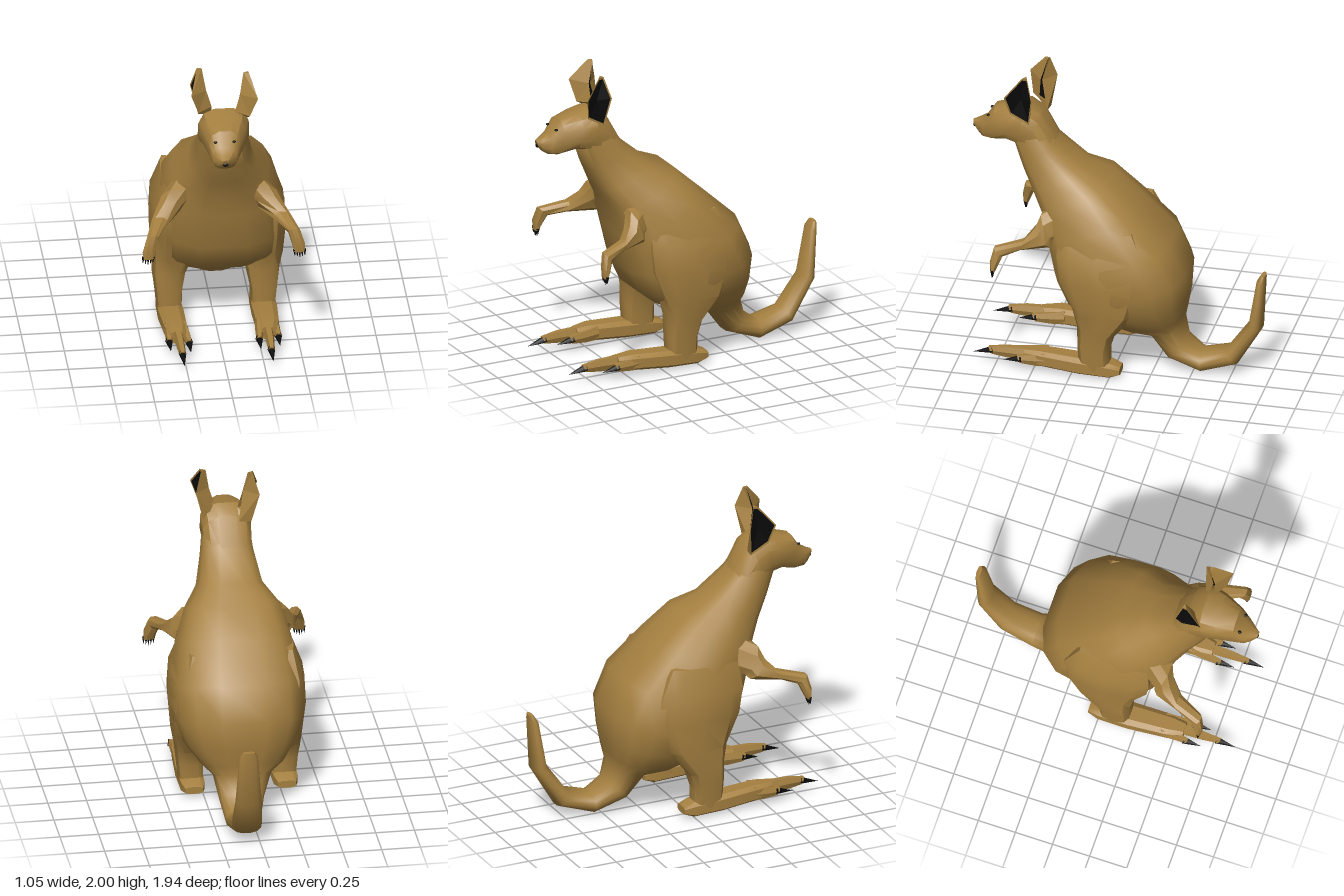
import * as THREE from 'three';
import { toCreasedNormals } from 'three/addons/utils/BufferGeometryUtils.js';

const fur = new THREE.MeshStandardMaterial({ color: 0xa58040, side: THREE.DoubleSide });
fur.name = 'tanFur';
const black = new THREE.MeshStandardMaterial({ color: 0x0b0b0b, side: THREE.DoubleSide });
black.name = 'blackDetail';

function add(parent, name, geometry, material) {
  const mesh = new THREE.Mesh(geometry, material);
  mesh.name = name;
  parent.add(mesh);
  return mesh;
}

// Skin over rings; each is [z, y of upper edge, z, y of lower edge, half width, centre x, optional roundness].
function loft(rings, sides, power, crease = 0.7) {
  const pos = [], index = [];
  const bend = (v, p) => Math.sign(v) * Math.pow(Math.abs(v), p);
  rings.forEach(([z1, y1, z2, y2, w, cx, p = power]) => {
    for (let j = 0; j < sides; j++) {
      const a = ((j + 0.5) / sides) * Math.PI * 2;
      const u = bend(Math.cos(a), p) / 2;
      pos.push(cx + w * bend(Math.sin(a), p), (y1 + y2) / 2 + (y1 - y2) * u, (z1 + z2) / 2 + (z1 - z2) * u);
    }
  });
  const last = (rings.length - 1) * sides;
  for (let j = 0; j < sides; j++) {
    const k = (j + 1) % sides;
    for (let r = 0; r < last; r += sides) {
      index.push(r + j, r + k, r + sides + j, r + k, r + sides + k, r + sides + j);
    }
    if (j > 0 && j < sides - 1) index.push(0, k, j, last, last + j, last + k);
  }
  const g = new THREE.BufferGeometry();
  g.setAttribute('position', new THREE.Float32BufferAttribute(pos, 3));
  g.setIndex(index);
  return toCreasedNormals(g, crease);
}

// Faceted surface from triangles of points
function facets(points) {
  const g = new THREE.BufferGeometry().setFromPoints(points);
  g.computeVertexNormals();
  return g;
}

// Pointed claw from a base point to a tip
function claw(parent, from, to, radius) {
  const a = new THREE.Vector3(...from), b = new THREE.Vector3(...to);
  const dir = b.clone().sub(a);
  const mesh = add(parent, 'claw', new THREE.ConeGeometry(radius, dir.length(), 5), black);
  mesh.position.copy(a).addScaledVector(dir, 0.5);
  mesh.quaternion.setFromUnitVectors(new THREE.Vector3(0, 1, 0), dir.normalize());
}

function makeArm(s) {
  const arm = new THREE.Group();
  arm.name = s > 0 ? 'leftArm' : 'rightArm';
  // fingertips, wrist, forearm, elbow, shoulder
  add(arm, 'armSkin', loft([
    [0.745, 0.76, 0.715, 0.76, 0.037, 0.485],
    [0.75, 0.83, 0.7, 0.79, 0.042, 0.48],
    [0.73, 0.92, 0.67, 0.86, 0.04, 0.455],
    [0.55, 0.96, 0.57, 0.89, 0.055, 0.395],
    [0.49, 1.03, 0.38, 0.9, 0.085, 0.32],
    [0.46, 1.11, 0.36, 0.92, 0.11, 0.265],
    [0.32, 1.18, 0.22, 0.95, 0.1, 0.17],
  ].map((r) => [...r.slice(0, 5), r[5] * s]), 8, 0.85, 0.5), fur);
  for (let i = 0; i < 5; i++) {
    const x = s * (0.453 + i * 0.016);
    claw(arm, [x, 0.775, 0.73], [x + s * 0.003, 0.71 + 0.008 * Math.abs(i - 2), 0.73], 0.011);
  }
  return arm;
}

function makeLeg(s) {
  const leg = new THREE.Group();
  leg.name = s > 0 ? 'leftLeg' : 'rightLeg';
  const X = (x) => 0.015 + s * x;
  // haunch narrowing into the shin
  add(leg, 'thighAndShin', loft([
    [-0.15, 1.04, 0.33, 1.02, 0.04, 0.015 + s * 0.31, 0.9],
    [-0.24, 0.86, 0.35, 0.86, 0.1, 0.025 + s * 0.325, 0.8],
    [-0.27, 0.68, 0.33, 0.68, 0.14, 0.03 + s * 0.3, 0.75],
    [-0.17, 0.47, 0.24, 0.48, 0.14, 0.03 + s * 0.285],
    [-0.03, 0.3, 0.21, 0.36, 0.11, X(0.3)],
    [0, 0.2, 0.21, 0.22, 0.09, X(0.305)],
    [0, 0.06, 0.2, 0.06, 0.08, X(0.3)],
  ], 10, 0.65), fur);
  add(leg, 'foot', loft([
    [0.56, 0.135, 0.56, 0.045, 0.05, X(0.29)],
    [0.46, 0.145, 0.46, 0.035, 0.075, X(0.295)],
    [0.2, 0.13, 0.2, 0.012, 0.085, X(0.3)],
    [0, 0.11, 0, 0.005, 0.08, X(0.3)],
    [-0.07, 0.08, -0.07, 0.03, 0.06, X(0.3)],
  ], 8, 0.6, 0.5), fur);
  // toes: [centre x, root x, front z, claw tip z]
  for (const [x, root, z, tip] of [[0.285, 0.29, 0.8, 0.9], [0.225, 0.25, 0.63, 0.72], [0.35, 0.335, 0.6, 0.69]]) {
    const y = z > 0.7 ? 0.09 : 0.08;
    add(leg, 'toe', loft([
      [z, y + 0.025, z - 0.02, y - 0.028, 0.02, X(x)],
      [z - 0.12, y + 0.045, z - 0.12, y - 0.04, 0.028, X((x + root) / 2)],
      [0.42, 0.14, 0.42, 0.04, 0.035, X(root)],
    ], 6, 0.8, 0.5), fur);
    claw(leg, [X(x), y, z - 0.03], [X(x), 0.062, tip], 0.026);
  }
  return leg;
}

// Cupped ear: ridged back, thin tan border and a dark hollow facing outward
function makeEar(s) {
  const ear = new THREE.Group();
  ear.name = s > 0 ? 'leftEar' : 'rightEar';
  const dz = s > 0 ? 0 : -0.08;
  const V = (x, y, z) => new THREE.Vector3(0.01 + s * x, y, z + dz);
  // rim: tip pair, back, bottom, lower front, front
  const rim = [V(0.165, 2, 0.61), V(0.16, 2, 0.58), V(0.2, 1.86, 0.54), V(0.15, 1.66, 0.57), V(0.16, 1.73, 0.69), V(0.21, 1.87, 0.72)];
  const hollow = V(0.145, 1.84, 0.62);
  const ridge = [V(0.13, 2, 0.59), V(0.13, 2, 0.59), V(0.105, 1.86, 0.62), V(0.07, 1.66, 0.58), V(0.07, 1.74, 0.63), V(0.105, 1.86, 0.63)];
  const inner = rim.map((p) => p.clone().lerp(hollow, 0.1));
  const shell = [], dark = [];
  rim.forEach((p, i) => {
    const n = (i + 1) % rim.length;
    const quad = (a, b) => (s > 0
      ? [a[i], b[i], a[n], a[n], b[i], b[n]]
      : [a[i], a[n], b[i], a[n], b[n], b[i]]);
    shell.push(...quad(ridge, rim), ...quad(rim, inner));
    dark.push(...(s > 0 ? [inner[i], hollow, inner[n]] : [inner[i], inner[n], hollow]));
  });
  add(ear, 'earShell', facets(shell), fur);
  add(ear, 'earInside', facets(dark), black);
  return ear;
}

export function createModel() {
  const model = new THREE.Group();
  model.name = 'kangaroo';

  // Neck, trunk and tail in one skin
  add(model, 'bodyAndTail', loft([
    [0.55, 1.71, 0.68, 1.49, 0.15, 0.01],
    [0.41, 1.52, 0.63, 1.34, 0.175, 0.015],
    [0.22, 1.36, 0.57, 1.2, 0.215, 0.02],
    [0.06, 1.29, 0.5, 1.07, 0.31, 0.02],
    [-0.13, 1.12, 0.46, 0.89, 0.375, 0.03],
    [-0.36, 0.91, 0.4, 0.63, 0.425, 0.04],
    [-0.46, 0.69, 0.33, 0.48, 0.42, 0.04],
    [-0.45, 0.5, 0.21, 0.385, 0.36, 0.04],
    [-0.43, 0.38, -0.05, 0.29, 0.27, 0.035],
    [-0.42, 0.31, -0.21, 0.25, 0.19, 0.045, 0.8],
    [-0.45, 0.2, -0.33, 0.08, 0.145, 0.06, 0.85],
    [-0.55, 0.13, -0.55, 0, 0.115, 0.075, 0.85],
    [-0.72, 0.18, -0.79, 0.08, 0.1, 0.085, 0.85],
    [-0.86, 0.38, -0.95, 0.35, 0.085, 0.095, 0.85],
    [-0.91, 0.68, -0.97, 0.7, 0.06, 0.1, 0.85],
    [-0.94, 0.73, -0.97, 0.73, 0.04, 0.1, 0.85],
  ], 14, 0.7, 0.9), fur);

  // Head from nose to nape
  add(model, 'head', loft([
    [0.97, 1.57, 0.96, 1.53, 0.02, -0.015],
    [0.94, 1.582, 0.93, 1.495, 0.045, -0.015],
    [0.88, 1.615, 0.9, 1.475, 0.08, -0.01],
    [0.82, 1.705, 0.84, 1.467, 0.105, -0.005],
    [0.7, 1.735, 0.73, 1.495, 0.145, 0.005],
    [0.6, 1.755, 0.66, 1.48, 0.165, 0.01],
    [0.51, 1.7, 0.6, 1.43, 0.16, 0.01],
    [0.4, 1.5, 0.53, 1.38, 0.15, 0.01],
  ], 12, 0.75, 0.6), fur);

  // Nose and mouth
  const nose = add(model, 'nose', new THREE.SphereGeometry(0.016, 8, 6), black);
  nose.scale.set(1.2, 0.8, 0.5);
  nose.position.set(-0.015, 1.535, 0.962);
  const mouth = add(model, 'mouth', new THREE.BoxGeometry(0.045, 0.005, 0.008), black);
  mouth.position.set(-0.015, 1.512, 0.937);

  for (const s of [1, -1]) {
    const eye = add(model, s > 0 ? 'leftEye' : 'rightEye', new THREE.SphereGeometry(0.012, 8, 6), black);
    eye.scale.set(1, 0.6, 1);
    eye.position.set(-0.008 + s * 0.06, 1.645, 0.858);
    model.add(makeEar(s), makeArm(s), makeLeg(s));
  }
  return model;
}
